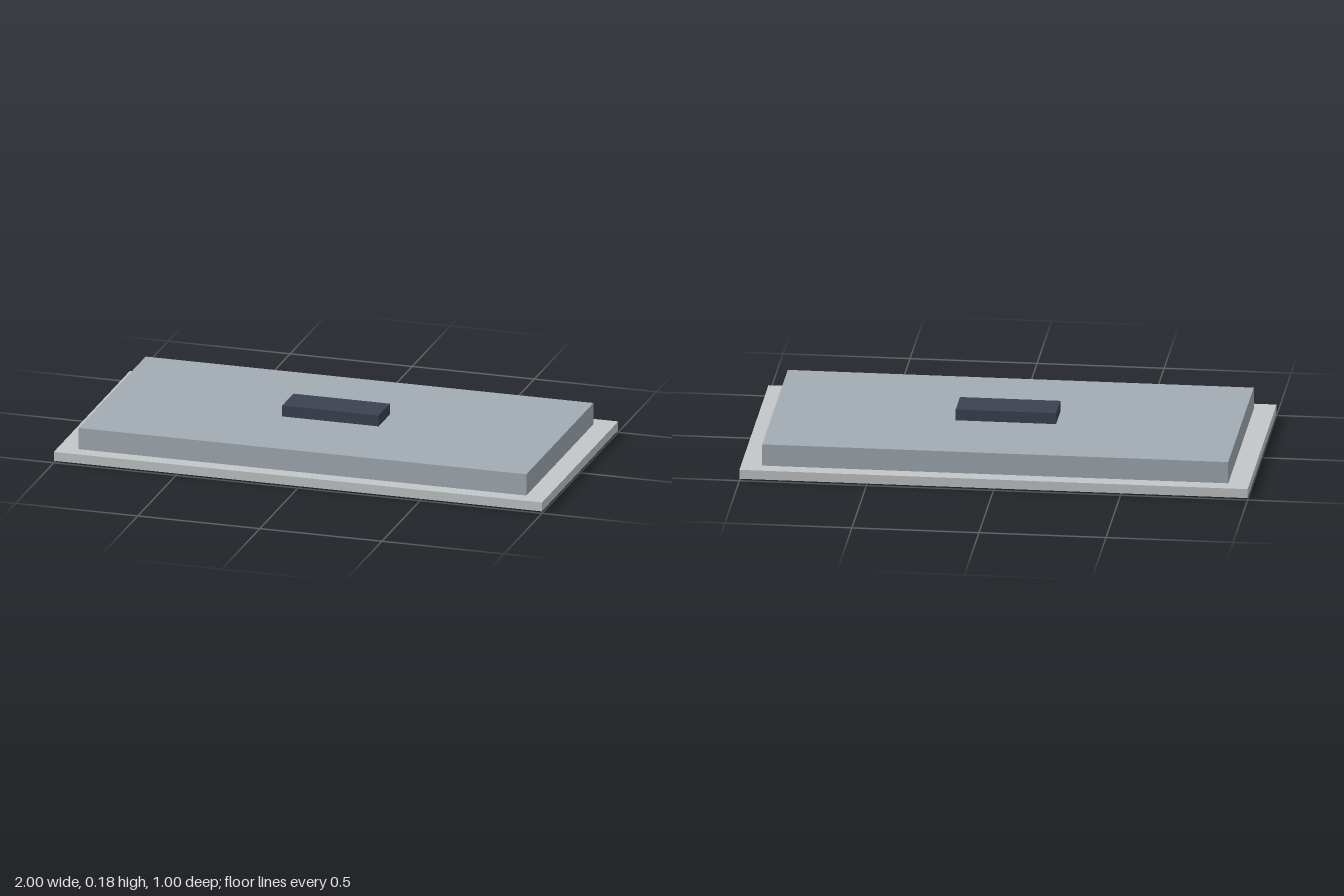
import * as THREE from 'three';

const material = (name, color) => {
  const m = new THREE.MeshStandardMaterial({ color });
  m.name = name;
  return m;
};

export function createModel() {
  const group = new THREE.Group();
  group.name = 'flatPanel';

  // Box spanning y0 to y1, centred on x and z
  const slab = (name, width, depth, y0, y1, mat) => {
    const mesh = new THREE.Mesh(new THREE.BoxGeometry(width, y1 - y0, depth), mat);
    mesh.name = name;
    mesh.position.y = (y0 + y1) / 2;
    group.add(mesh);
  };

  // Thin cream panel just proud of the underside
  slab('lowerPanel', 1.834, 0.88, 0, 0.012, material('warm cream', 0xd0ccb2));
  // Wide rim
  slab('rim', 2, 1, 0.008, 0.045, material('light grey', 0xc4c7c9));
  // Main housing
  slab('housing', 1.834, 0.88, 0.045, 0.133, material('blue grey', 0xa3acb4));
  // Small box on top
  slab('topBox', 0.395, 0.147, 0.133, 0.178, material('dark slate', 0x3c4250));

  return group;
}
